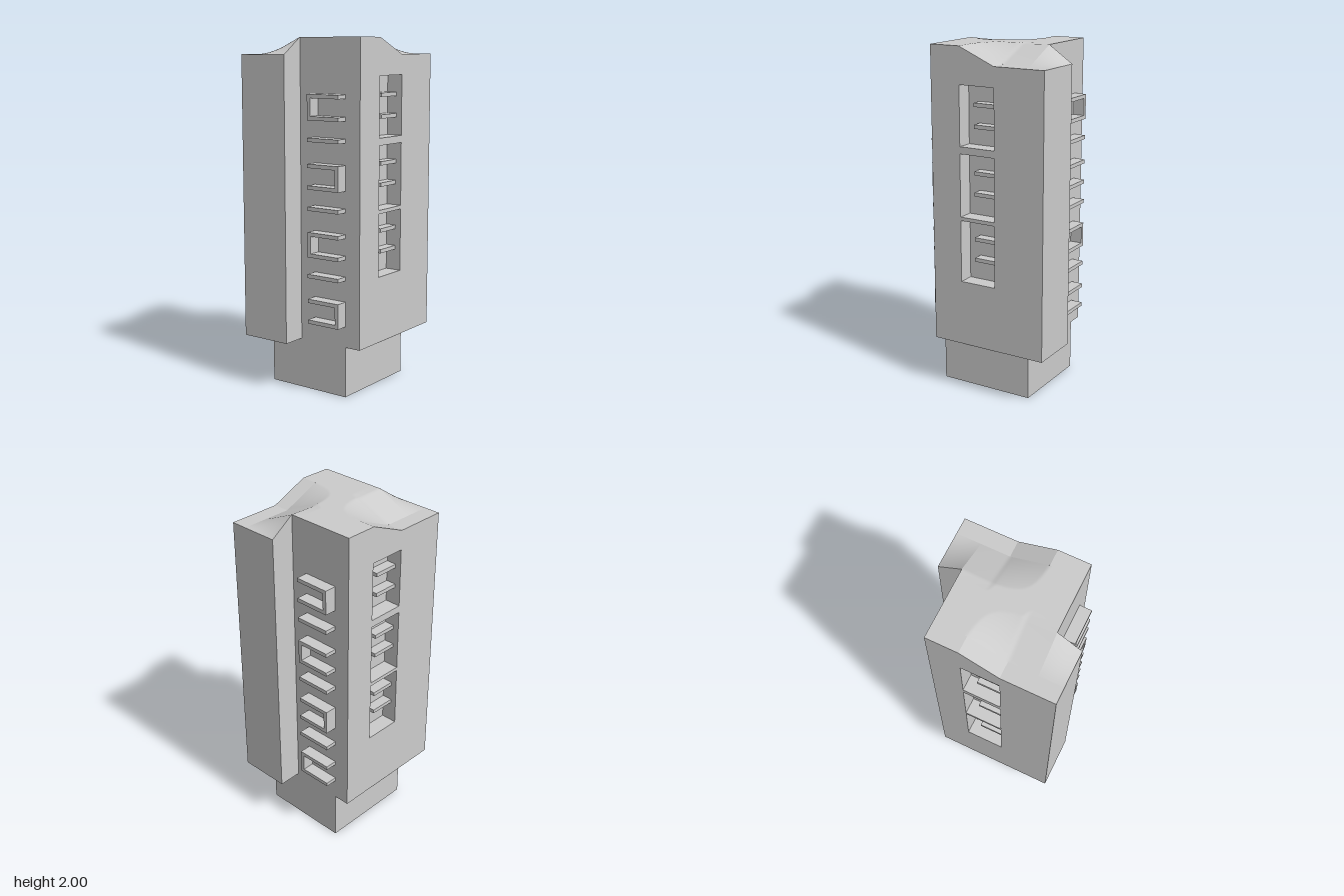
import * as THREE from 'three';

const HX = 0.285, HZ = 0.26, FRONT = 0.355, WING = 0.425; // plan dimensions
const FLOOR = 0.29, HIGH = 2, LOW = 1.905;
const FLOORS = 4, STEP = 0.381;

const ramp = (t, a, b) => HIGH + (LOW - HIGH) * THREE.MathUtils.clamp((t - a) / (b - a), 0, 1);
const frontEdge = (x) => ramp(x, -0.1, 0.12);
const sideEdge = (z) => ramp(z, 0.05, HZ);

// Roof over the core: a patch blended between its four edge profiles
function coreRoof(x, z) {
  const { lerp } = THREE.MathUtils;
  const u = (x + HX) / (2 * HX), v = (z + HZ) / (2 * HZ);
  const corners = lerp(lerp(LOW, HIGH, u), lerp(HIGH, LOW, u), v);
  const y = lerp(frontEdge(-x), frontEdge(x), v) + lerp(sideEdge(-z), sideEdge(z), u) - corners;
  return Math.min(y, HIGH);
}

// Roof over the wing: falls from the core's side edge to the low outer edge
const wingRoof = (x, z) => THREE.MathUtils.lerp(sideEdge(z), LOW, (x - HX) / (WING - HX));

const material = new THREE.MeshStandardMaterial({ color: 0xcccccc });

function add(parent, name, geometry) {
  const mesh = new THREE.Mesh(geometry, material);
  mesh.name = name;
  parent.add(mesh);
  return mesh;
}

function box(parent, name, x0, x1, y0, y1, z0, z1) {
  const g = new THREE.BoxGeometry(x1 - x0, y1 - y0, z1 - z0);
  g.translate((x0 + x1) / 2, (y0 + y1) / 2, (z0 + z1) / 2);
  return add(parent, name, g);
}

// Box whose top follows a height function
function tower(parent, name, x0, x1, y0, z0, z1, nx, nz, roof) {
  const g = new THREE.BoxGeometry(x1 - x0, 1, z1 - z0, nx, 1, nz);
  g.translate((x0 + x1) / 2, 0, (z0 + z1) / 2);
  const p = g.attributes.position;
  for (let i = 0; i < p.count; i++) {
    p.setY(i, p.getY(i) > 0 ? roof(p.getX(i), p.getZ(i)) : y0);
  }
  g.computeVertexNormals();
  return add(parent, name, g);
}

// Front slab with a stack of recessed bays
function facade(parent) {
  const shape = new THREE.Shape([
    [-HX, FLOOR], [WING, FLOOR], [WING, LOW], [0.12, LOW], [-0.1, HIGH], [-HX, HIGH],
  ].map(([x, y]) => new THREE.Vector2(x, y)));
  for (let i = 0; i < FLOORS; i++) {
    const top = 1.792 - i * STEP, bottom = top - 0.36 + (i === 0 ? 0.02 : 0);
    shape.holes.push(new THREE.Path([
      [-0.1, bottom], [-0.1, top], [0.12, top], [0.12, bottom],
    ].map(([x, y]) => new THREE.Vector2(x, y))));
  }
  const g = new THREE.ExtrudeGeometry(shape, { depth: FRONT - HZ, bevelEnabled: false });
  g.translate(0, 0, HZ);
  add(parent, 'facade', g);
}

// One half of the building; the other is the same, turned half round
function half(index) {
  const group = new THREE.Group();
  group.name = index === 0 ? 'frontHalf' : 'backHalf';
  facade(group);
  tower(group, 'wing', HX, WING, FLOOR, 0.05, HZ, 8, 12, wingRoof);
  for (let i = 0; i < FLOORS; i++) {
    const y = 1.695 - i * STEP;
    // Shelves inside the recessed bay
    for (const top of [y, y - 0.12]) {
      box(group, 'bayShelf', -0.03, 0.12, top - 0.022, top, HZ, HZ + 0.06);
    }
    // Projecting balcony slabs with an end panel on alternating sides
    const tops = i < FLOORS - 1 ? [y, y - 0.12, y - 0.238] : [y, y - 0.12];
    for (const top of tops) {
      box(group, 'balconySlab', HX, 0.355, top - 0.022, top, -HZ, -0.05);
    }
    const z = (i + index) % 2 === 0 ? -HZ : -0.072;
    box(group, 'balconyPanel', HX, 0.355, y - 0.12, y - 0.022, z, z + 0.022);
  }
  group.rotation.y = index * Math.PI;
  return group;
}

export function createModel() {
  const model = new THREE.Group();
  model.name = 'towerBlock';
  // Core, from the ground up to the curved roof
  tower(model, 'core', -HX, HX, 0, -HZ, HZ, 57, 52, coreRoof);
  model.add(half(0), half(1));
  return model;
}
